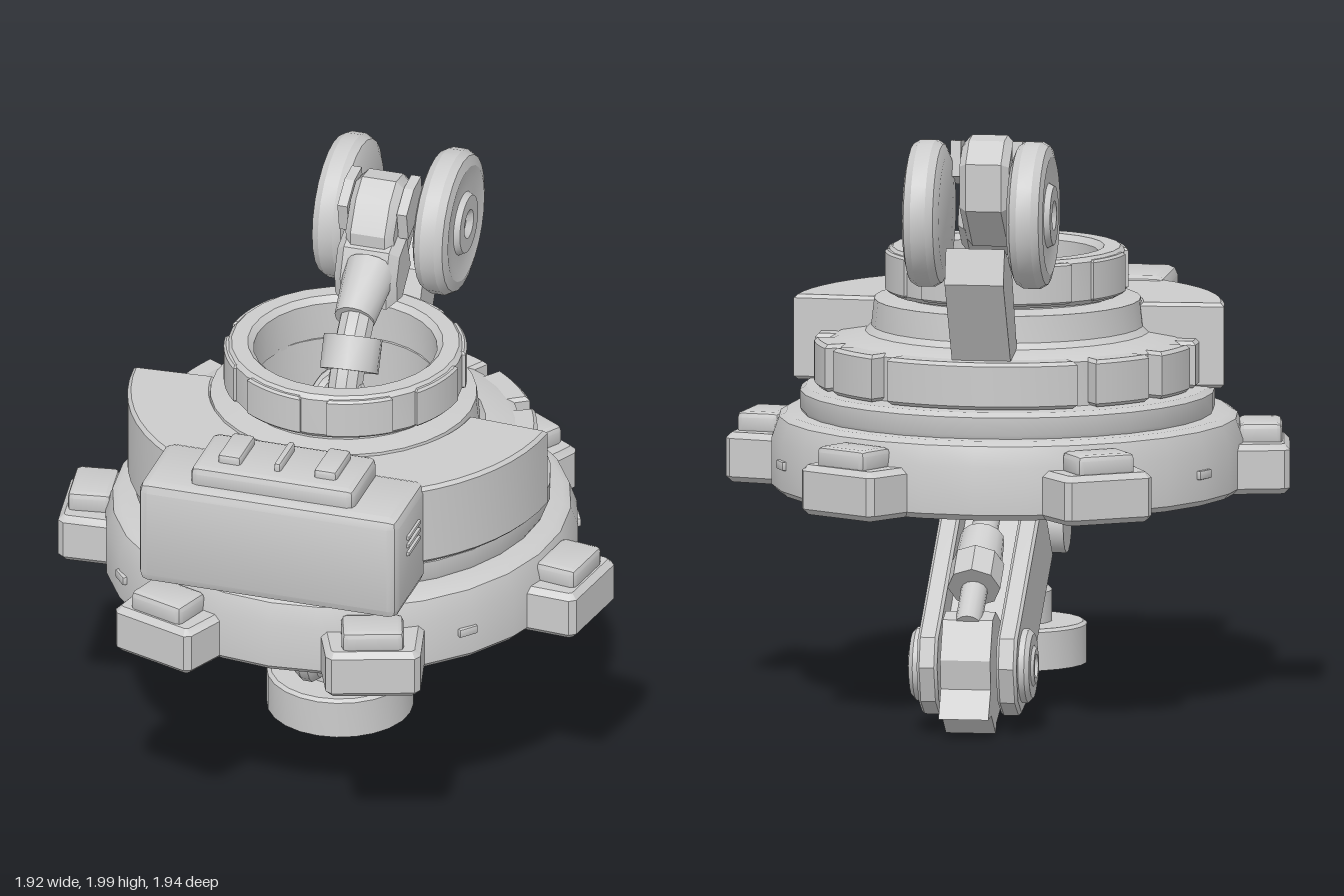
import * as THREE from 'three';
import { toCreasedNormals } from 'three/addons/utils/BufferGeometryUtils.js';
import { RoundedBoxGeometry } from 'three/addons/geometries/RoundedBoxGeometry.js';

const material = new THREE.MeshStandardMaterial({ color: 0xcccccc, side: THREE.DoubleSide });
const V = (x, y, z) => new THREE.Vector3(x, y, z);
const vec2 = (pts) => pts.map(([a, b]) => new THREE.Vector2(a, b));
const rad = THREE.MathUtils.degToRad;

export function createModel() {
  const model = new THREE.Group();

  function add(name, geometry, pos = [0, 0, 0], parent = model) {
    const mesh = new THREE.Mesh(toCreasedNormals(geometry, 0.5), material);
    mesh.name = name;
    mesh.position.set(...pos);
    parent.add(mesh);
    return mesh;
  }
  const lathe = (pts, segments = 28) => new THREE.LatheGeometry(vec2(pts), segments);
  const box = (w, h, d, r = 0.015) => new RoundedBoxGeometry(w, h, d, 1, r);
  const bevelled = (shape, depth, b) => new THREE.ExtrudeGeometry(shape, {
    depth: depth - 2 * b, bevelEnabled: b > 0, bevelSize: b, bevelThickness: b,
    bevelOffset: -b, bevelSegments: 1, curveSegments: 14,
  }).translate(0, 0, b);
  // Plan outline in (x, z), raised from y = 0 to y = height
  const plan = (shape, height, b = 0) =>
    bevelled(shape, height, b).rotateX(Math.PI / 2).translate(0, height, 0);
  // Side outline in (z, y), centred across x
  const side = (pts, width, b = 0) =>
    bevelled(new THREE.Shape(vec2(pts)), width, b).rotateY(-Math.PI / 2).translate(width / 2, 0, 0);
  // Ring sector in plan, angles in degrees from +x towards +z
  function sector(inner, outer, from, to) {
    const shape = new THREE.Shape();
    shape.absarc(0, 0, outer, rad(from), rad(to), false);
    shape.absarc(0, 0, inner, rad(to), rad(from), true);
    return shape;
  }
  // Cylinder running between two points
  function rod(name, a, b, r0, r1 = r0, sides = 14) {
    const dir = b.clone().sub(a);
    const mesh = add(name, new THREE.CylinderGeometry(r1, r0, dir.length(), sides));
    mesh.position.copy(a).add(b).multiplyScalar(0.5);
    mesh.quaternion.setFromUnitVectors(V(0, 1, 0), dir.normalize());
    return mesh;
  }
  const pipe = (name, pts, r) => add(name, new THREE.TubeGeometry(
    new THREE.CatmullRomCurve3(pts.map((p) => V(...p))), 20, r, 10));

  // Base disc with a chamfered rim
  add('baseDisc', lathe([[0, 0.72], [0.78, 0.72], [0.8, 0.74], [0.8, 0.9], [0.775, 0.97],
    [0.75, 0.985], [0.66, 0.99], [0, 0.99]]), [0, 0, 0.05]);

  // Lugs around the rim: middle of the outer edge and outward direction
  const lugShape = new THREE.Shape(vec2([[-0.3, -0.185], [-0.02, -0.16], [0, -0.14],
    [0, 0.14], [-0.02, 0.16], [-0.3, 0.185]]));
  for (const s of [1, -1]) {
    for (const [x, z, deg] of [[0.94, 0.18, 9], [0.47, -0.765, -58], [0.395, 0.925, 71]]) {
      const lug = new THREE.Group();
      lug.name = 'rimLug';
      lug.position.set(s * x, 0.72, z);
      lug.rotation.y = s > 0 ? -rad(deg) : rad(deg) - Math.PI;
      model.add(lug);
      add('lugBody', plan(lugShape, 0.17, 0.02), [0, 0, 0], lug);
      add('lugCap', box(0.15, 0.08, 0.21, 0.02), [-0.1, 0.195, 0], lug);
    }
    // Small catches on the rim between the lugs
    for (const deg of [40, -26]) {
      const catchBox = add('rimCatch', box(0.02, 0.03, 0.07, 0.004),
        [s * 0.8 * Math.cos(rad(deg)), 0.83, 0.05 + 0.8 * Math.sin(rad(deg))]);
      catchBox.rotation.y = -s * rad(deg);
    }
  }

  // Stepped turret with an open well
  add('turret', lathe([[0.69, 0.98], [0.7, 1.0], [0.7, 1.06], [0.68, 1.075], [0.6, 1.08], [0.6, 1.23],
    [0.57, 1.245], [0.48, 1.26], [0.46, 1.28], [0.45, 1.37], [0.36, 1.38], [0.36, 1.4], [0.32, 1.4],
    [0.32, 1.0], [0, 1.0]], 32), [0, 0, 0.03]);
  for (const [from, to] of [[-4, 10], [-28, -10], [-54, -34], [-120, -60], [-146, -126], [-170, -152], [170, 184]]) {
    add('turretPlate', plan(sector(0.54, 0.65, from, to), 0.16, 0.012), [0, 1.08, 0.02]);
  }

  // Collar ring with raised segments
  add('collarRing', lathe([[0.31, 1.39], [0.385, 1.39], [0.4, 1.405], [0.4, 1.535], [0.385, 1.55],
    [0.33, 1.55], [0.31, 1.53], [0.31, 1.39]]), [0, 0, 0.01]);
  for (let i = 0; i < 8; i++) {
    add('collarSegment', plan(sector(0.38, 0.41, i * 45 + 4, i * 45 + 36), 0.14, 0.008), [0, 1.4, 0.01]);
  }

  // Front fairing and equipment box
  add('fairing', plan(sector(0.45, 0.735, 4, 176), 0.29, 0.012), [0, 1.07, 0.01]);
  add('frontBox', box(0.92, 0.38, 0.33, 0.035), [0, 1.185, 0.705]);
  add('boxLid', box(0.58, 0.09, 0.27, 0.025), [0, 1.395, 0.685]);
  for (const x of [-0.17, 0, 0.17]) {
    add('lidRidge', box(x ? 0.08 : 0.025, 0.05, 0.17, 0.012), [x, 1.445, 0.675]);
  }
  for (const s of [1, -1]) {
    for (const y of [1.2, 1.23, 1.26]) {
      add('sideVent', box(0.02, 0.015, 0.13, 0.004), [s * 0.46, y, 0.695]);
    }
    // Machinery inside the well
    add('wellBlock', box(0.1, 0.26, 0.36), [s * 0.2, 1.13, 0.05]);
  }

  // Strut rising from the back of the turret
  add('rearStrut', side([[-0.38, 1.16], [-0.52, 1.16], [-0.73, 1.52], [-0.7, 1.64], [-0.54, 1.55]], 0.2));

  // Shoulder wheels and hubs
  const wheel = lathe([[0, 0], [0.2, 0], [0.235, 0.015], [0.25, 0.04], [0.25, 0.09], [0.235, 0.115],
    [0.2, 0.125], [0.16, 0.115], [0.11, 0.115], [0.1, 0.135], [0.05, 0.135], [0.03, 0.115], [0, 0.115]], 24);
  for (const s of [1, -1]) {
    add('shoulderWheel', wheel, [s * 0.115, 1.74, -0.57]).rotation.z = -s * Math.PI / 2;
    add('wheelFin', side([[-0.3, 1.8], [-0.28, 1.9], [-0.36, 1.96], [-0.44, 1.97], [-0.46, 1.85]], 0.035),
      [s * 0.105, 0, 0]);
  }

  // Upper arm between the wheels, stepping down into the well
  add('upperArmHead', side([[-0.52, 1.74], [-0.52, 1.9], [-0.44, 1.97], [-0.36, 1.98], [-0.29, 1.93],
    [-0.23, 1.83], [-0.24, 1.68], [-0.36, 1.6]], 0.17, 0.025));
  add('upperArm', side([[-0.4, 1.66], [-0.34, 1.83], [-0.22, 1.78], [-0.18, 1.68], [-0.19, 1.58], [-0.28, 1.56]],
    0.22, 0.03));
  rod('wrist', V(0.01, 1.7, -0.24), V(0.01, 1.6, -0.06), 0.09, 0.07);
  pipe('mainHose', [[0.01, 1.64, -0.15], [0.02, 1.56, -0.02], [0.02, 1.4, 0.08], [0.01, 1.0, 0.14]], 0.06);
  rod('hoseCollar', V(0.015, 1.55, -0.03), V(0.02, 1.45, 0.03), 0.1);
  for (const [x, z] of [[-0.09, 0.12], [0.1, 0.16]]) {
    pipe('wellHose', [[x, 1.0, z], [x, 1.28, z], [x * 0.6, 1.4, z - 0.08], [0.01, 1.45, 0.03]], 0.035);
  }

  // Hollow foot cup and neck
  add('footCup', lathe([[0, 0.24], [0.21, 0.24], [0.225, 0.14], [0.248, 0.14], [0.248, 0.27], [0.235, 0.28],
    [0.13, 0.28], [0.13, 0.385], [0.115, 0.4], [0.1, 0.4], [0.1, 0.46], [0, 0.46]], 24), [-0.03, 0, -0.025]);

  // Head joining neck, hose and lower arm under the disc
  add('neckHead', side([[0.2, 0.46], [0.22, 0.6], [0.16, 0.72], [-0.1, 0.72], [-0.12, 0.43], [0.1, 0.43]], 0.2, 0.02));
  rod('headAxle', V(-0.2, 0.6, 0.06), V(0.16, 0.6, 0.06), 0.1);
  add('headMount', box(0.46, 0.08, 0.26, 0.025), [0, 0.69, 0.07]);
  for (const s of [1, -1]) {
    rod('headBolt', V(s * 0.14, 0.65, 0.16), V(s * 0.23, 0.65, 0.16), 0.045, 0.035, 10);
  }
  pipe('lowerHose', [[0.03, 0.76, 0.51], [0.03, 0.66, 0.54], [0.03, 0.56, 0.5], [0.02, 0.53, 0.4], [0.01, 0.53, 0.14]], 0.05);
  rod('hoseCuff', V(0.015, 0.53, 0.27), V(0.015, 0.53, 0.22), 0.062);
  pipe('shortHose', [[-0.07, 0.73, 0.45], [-0.07, 0.67, 0.36], [-0.07, 0.65, 0.27], [-0.07, 0.6, 0.15]], 0.045);

  // Lower arm: two cheek plates, floor and end cap
  const cheek = [[-0.06, 0.51], [-0.28, 0.74], [-0.36, 0.7], [-0.79, 0.4], [-0.88, 0.34], [-0.91, 0.24],
    [-0.87, 0.12], [-0.78, 0.065], [-0.68, 0.085], [-0.62, 0.125]];
  for (const s of [1, -1]) {
    add('lowerArmCheek', side(cheek, 0.07, 0.01), [s * 0.135, 0, 0]);
    const hub = lathe([[0, 0], [0.125, 0], [0.125, 0.03], [0.11, 0.045], [0.07, 0.045],
      [0.06, 0.055], [0.04, 0.055], [0.03, 0.03], [0, 0.03]], 18);
    add('elbowHub', hub, [s * 0.16, 0.23, -0.74]).rotation.z = -s * Math.PI / 2;
  }
  add('lowerArmCore', side([[-0.06, 0.51], [-0.22, 0.68], [-0.66, 0.34], [-0.62, 0.125]], 0.24));

  // Piston lying in the arm and the clawed elbow knuckle
  rod('pistonRod', V(0, 0.74, -0.36), V(0, 0.38, -0.86), 0.045);
  rod('pistonSleeve', V(0, 0.63, -0.54), V(0, 0.5, -0.71), 0.075, 0.085);
  rod('pistonCuff', V(0, 0.56, -0.64), V(0, 0.49, -0.73), 0.09, 0.09, 8);
  add('elbowKnuckle', side([[-0.66, 0.36], [-0.8, 0.42], [-0.87, 0.4], [-0.93, 0.27], [-0.915, 0.17],
    [-0.97, 0.075], [-0.9, 0.08], [-0.8, 0.005], [-0.78, 0.04], [-0.68, 0.08]], 0.17));

  return model;
}
